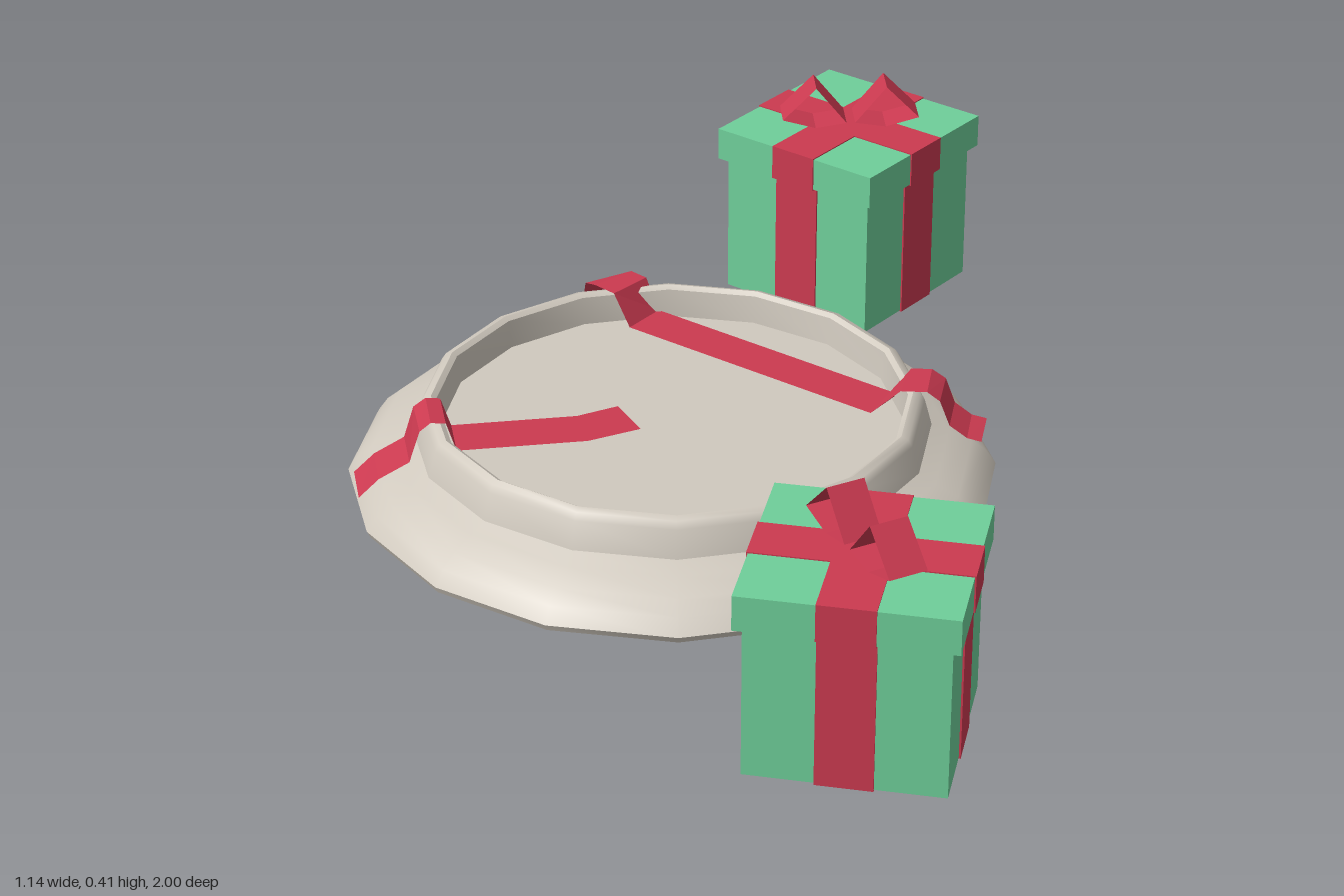
import * as THREE from 'three';
import { toCreasedNormals } from 'three/addons/utils/BufferGeometryUtils.js';

function material(name, color, side = THREE.FrontSide) {
  const m = new THREE.MeshStandardMaterial({ color, side });
  m.name = name;
  return m;
}

function mesh(name, geometry, mat, y = 0) {
  const m = new THREE.Mesh(geometry, mat);
  m.name = name;
  m.position.y = y;
  return m;
}

// Flat strip swept along a path of [x, y, z]; its width stays horizontal.
function strip(path, width, fixedSide) {
  const pts = path.map((p) => new THREE.Vector3(...p));
  const pos = [];
  const index = [];
  pts.forEach((p, i) => {
    const a = pts[Math.max(i - 1, 0)];
    const b = pts[Math.min(i + 1, pts.length - 1)];
    const side = fixedSide
      ? fixedSide.clone()
      : new THREE.Vector3(a.z - b.z, 0, b.x - a.x).normalize();
    side.multiplyScalar(width / 2);
    pos.push(p.x - side.x, p.y, p.z - side.z, p.x + side.x, p.y, p.z + side.z);
    if (i > 0) {
      const k = i * 2;
      index.push(k - 2, k - 1, k, k - 1, k + 1, k);
    }
  });
  const g = new THREE.BufferGeometry();
  g.setAttribute('position', new THREE.Float32BufferAttribute(pos, 3));
  g.setIndex(index);
  const flat = g.toNonIndexed();
  flat.computeVertexNormals();
  return flat;
}

export function createModel() {
  const green = material('giftGreen', 0x6fcf9a);
  const red = material('ribbonRed', 0xcb3a50, THREE.DoubleSide);
  const cream = material('plateCream', 0xd0c9be);
  const model = new THREE.Group();
  model.name = 'giftsAndPlate';

  // Sixteen-sided plate with a sloping skirt and a raised rim
  const profile = [
    [0, 0.005], [0.52, 0.005], [0.552, 0.012], [0.558, 0.024], [0.54, 0.05],
    [0.515, 0.07], [0.475, 0.088], [0.445, 0.102], [0.432, 0.15], [0.424, 0.162],
    [0.412, 0.166], [0.403, 0.16], [0.397, 0.11], [0, 0.11],
  ].map(([r, y]) => new THREE.Vector2(r, y));
  const plate = mesh('plate', toCreasedNormals(new THREE.LatheGeometry(profile, 16), 0.8), cream);
  plate.position.set(-0.016, 0, -0.018);
  model.add(plate);

  // Loose ribbons draped over the rim
  const shortRibbon = [
    [-0.555, 0.042, 0.068], [-0.52, 0.075, 0.063], [-0.468, 0.103, 0.056],
    [-0.45, 0.16, 0.053], [-0.43, 0.175, 0.05], [-0.405, 0.172, 0.047],
    [-0.388, 0.118, 0.044], [-0.17, 0.118, 0.015], [-0.09, 0.118, -0.022],
  ];
  const longRibbon = [
    [-0.147, 0.028, -0.567], [-0.14, 0.073, -0.53], [-0.13, 0.108, -0.478],
    [-0.125, 0.165, -0.455], [-0.115, 0.176, -0.437], [-0.085, 0.176, -0.407],
    [-0.06, 0.12, -0.385], [0.35, 0.12, -0.06], [0.385, 0.174, -0.045],
    [0.425, 0.176, -0.038], [0.448, 0.16, -0.034], [0.465, 0.115, -0.03],
    [0.495, 0.093, -0.025], [0.52, 0.088, -0.02],
  ];
  model.add(mesh('shortRibbon', strip(shortRibbon, 0.09), red));
  model.add(mesh('longRibbon', strip(longRibbon, 0.085), red));

  // One loop of a bow, mirrored for the second
  const bowLoop = [[0.008, 0.345], [0.065, 0.415], [0.126, 0.353], [0.065, 0.336], [0.008, 0.345]];
  const acrossBow = new THREE.Vector3(0, 0, 1);

  function gift(name, x, z, turn, bowTurn) {
    const g = new THREE.Group();
    g.name = name;
    const body = 0.318;
    const lid = 0.345;
    const band = 0.092;
    const box = new THREE.Group();
    box.name = 'wrappedBox';
    box.rotation.y = turn;
    box.add(mesh('body', new THREE.BoxGeometry(body, 0.27, body), green, 0.143));
    box.add(mesh('lid', new THREE.BoxGeometry(lid, 0.06, lid), green, 0.301));
    // Crossed bands around the body and the lid
    for (const angle of [0, Math.PI / 2]) {
      const bodyBand = mesh('bodyBand', new THREE.BoxGeometry(band, 0.268, body + 0.006), red, 0.14);
      const lidBand = mesh('lidBand', new THREE.BoxGeometry(band, 0.064, lid + 0.005), red, 0.301);
      bodyBand.rotation.y = lidBand.rotation.y = angle;
      box.add(bodyBand, lidBand);
    }
    const bow = new THREE.Group();
    bow.name = 'bow';
    bow.rotation.y = bowTurn;
    for (const s of [1, -1]) {
      bow.add(mesh('bowLoop', strip(bowLoop.map(([u, y]) => [s * u, y, 0]), 0.066, acrossBow), red));
    }
    g.add(box, bow);
    g.position.set(x, 0, z);
    model.add(g);
  }

  gift('frontGift', 0.262, 0.785, -0.226, -1.107);
  gift('backGift', 0.325, -0.762, -0.686, 0.04);
  return model;
}
